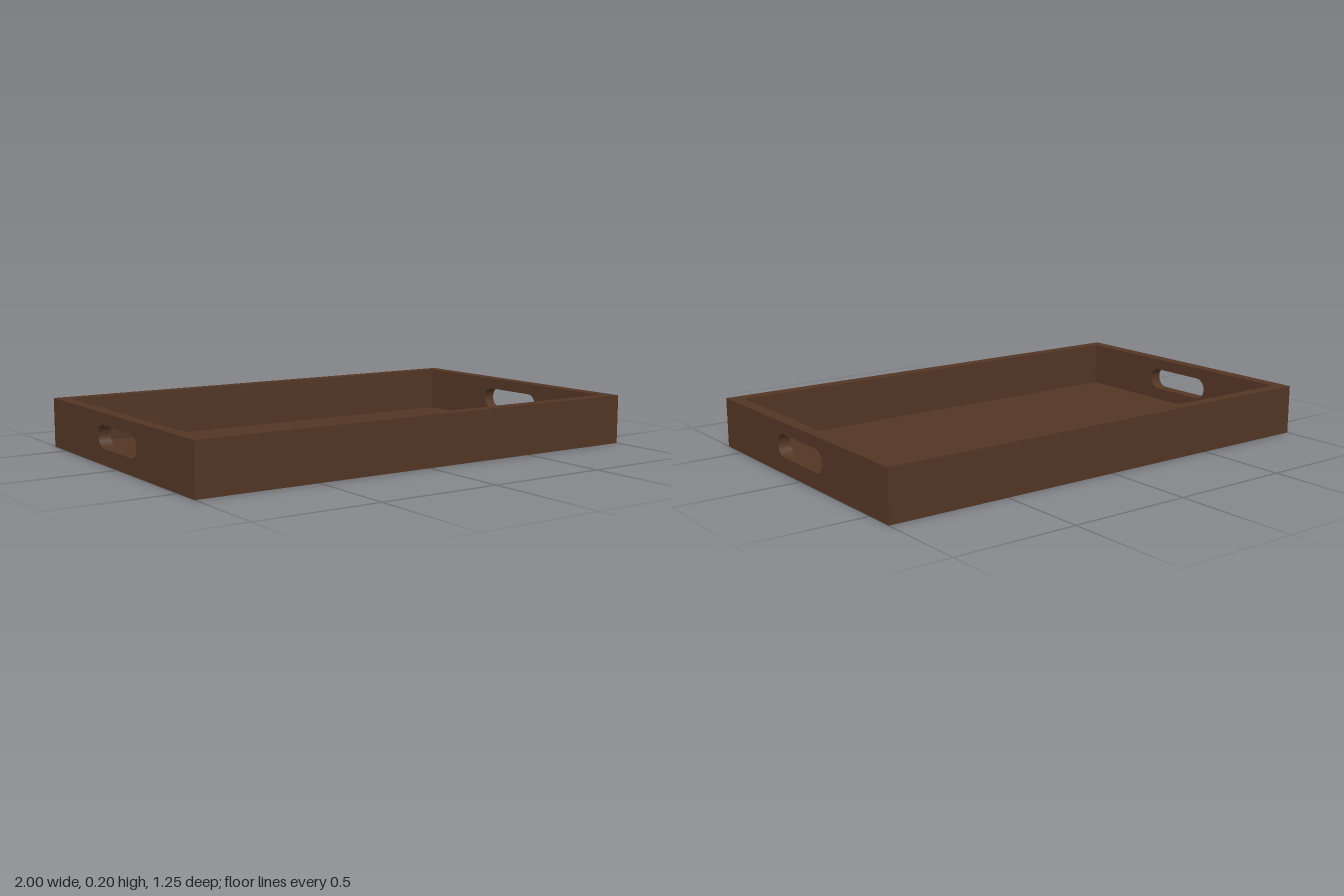
import * as THREE from 'three';

const LENGTH = 2, DEPTH = 1.245, HEIGHT = 0.204, WALL = 0.052, FLOOR = 0.015;

export function createModel() {
  const tray = new THREE.Group();
  tray.name = 'servingTray';
  const wood = new THREE.MeshStandardMaterial({ color: 0x533625 });
  wood.name = 'dark wood';

  const add = (name, geometry, x, y, z) => {
    const mesh = new THREE.Mesh(geometry, wood);
    mesh.name = name;
    mesh.position.set(x, y, z);
    tray.add(mesh);
  };

  // Thin floor panel set between the walls
  add('floor', new THREE.BoxGeometry(LENGTH - 2 * WALL, FLOOR, DEPTH - 2 * WALL), 0, FLOOR / 2, 0);

  // Long front and back walls, fitted between the end walls
  const longWall = new THREE.BoxGeometry(LENGTH - 2 * WALL, HEIGHT, WALL);
  add('frontWall', longWall, 0, HEIGHT / 2, (DEPTH - WALL) / 2);
  add('backWall', longWall, 0, HEIGHT / 2, -(DEPTH - WALL) / 2);

  // End walls with a round-ended hand slot
  const end = new THREE.Shape();
  end.moveTo(-DEPTH / 2, 0);
  end.lineTo(DEPTH / 2, 0);
  end.lineTo(DEPTH / 2, HEIGHT);
  end.lineTo(-DEPTH / 2, HEIGHT);
  end.closePath();

  const slot = new THREE.Path();
  const radius = 0.046, reach = 0.125, slotY = 0.111;
  slot.absarc(reach, slotY, radius, -Math.PI / 2, Math.PI / 2, false);
  slot.absarc(-reach, slotY, radius, Math.PI / 2, Math.PI * 1.5, false);
  slot.closePath();
  end.holes.push(slot);

  const endWall = new THREE.ExtrudeGeometry(end, { depth: WALL, bevelEnabled: false, curveSegments: 12 });
  endWall.translate(0, 0, -WALL / 2);
  endWall.rotateY(Math.PI / 2);
  add('leftEndWall', endWall, (LENGTH - WALL) / 2, 0, 0);
  add('rightEndWall', endWall, -(LENGTH - WALL) / 2, 0, 0);

  return tray;
}
